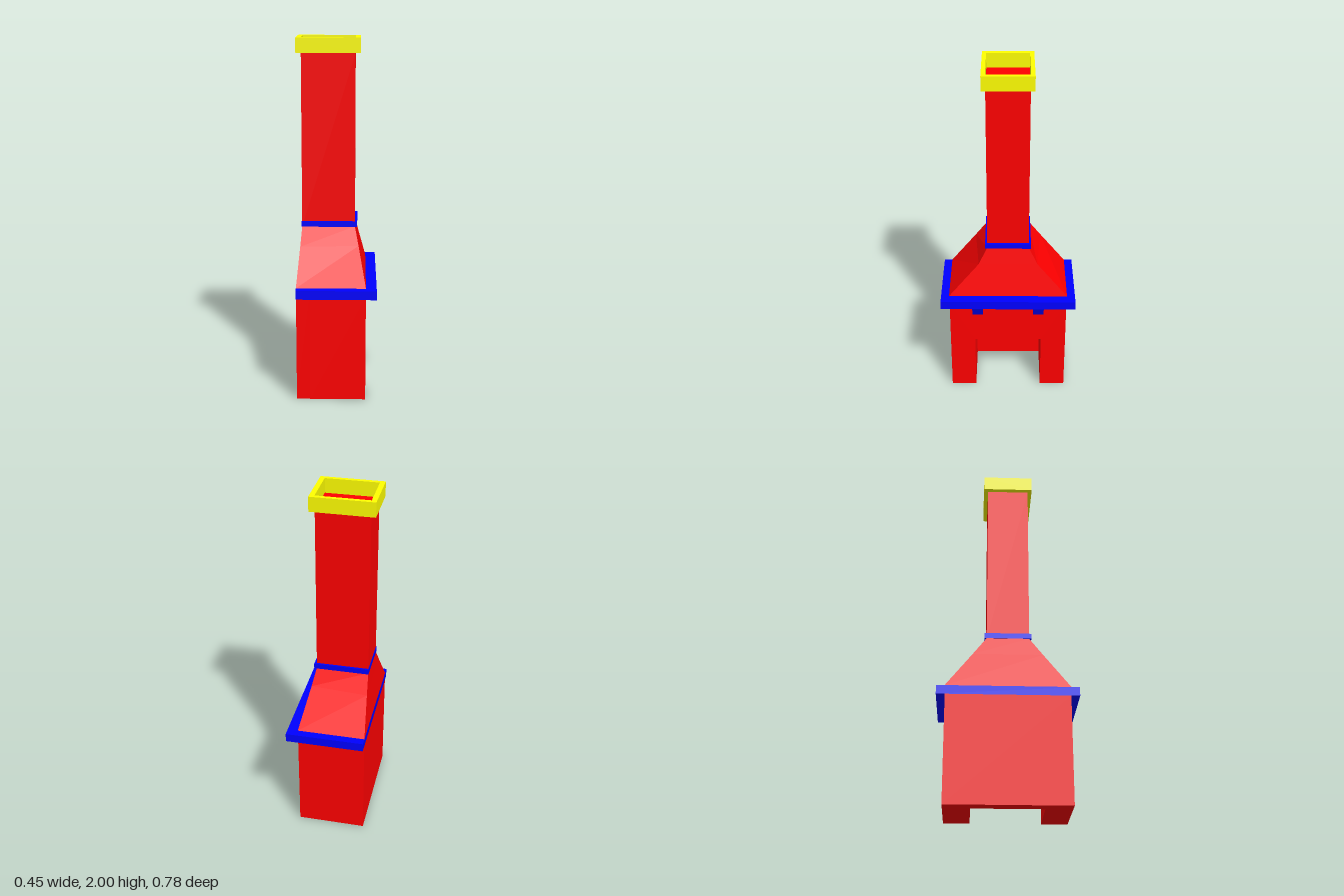
import * as THREE from 'three';

const paint = (color) => new THREE.MeshStandardMaterial({ color, flatShading: true });

export function createModel() {
  const group = new THREE.Group();
  const red = paint(0xff0000), blue = paint(0x0000ff), yellow = paint(0xffff00);

  const add = (name, geometry, material) => {
    const mesh = new THREE.Mesh(geometry, material);
    mesh.name = name;
    group.add(mesh);
    return mesh;
  };

  // Box given by its x range, y range and half width in z
  const slab = (name, x0, x1, y0, y1, halfZ, material) =>
    add(name, new THREE.BoxGeometry(x1 - x0, y1 - y0, halfZ * 2), material)
      .position.set((x0 + x1) / 2, (y0 + y1) / 2, 0);

  const polygon = (points) => new THREE.Shape(points.map(([x, y]) => new THREE.Vector2(x, y)));
  const extrude = (shape, depth) => new THREE.ExtrudeGeometry(shape, { depth, bevelEnabled: false });

  // Firebox: arch-shaped surround opening to +x and downwards, with a back wall
  const surround = polygon([
    [-0.34, 0], [-0.195, 0], [-0.195, 0.34], [0.195, 0.34],
    [0.195, 0], [0.34, 0], [0.34, 0.605], [-0.34, 0.605],
  ]);
  add('fireboxSurround', extrude(surround, 0.31).rotateY(Math.PI / 2).translate(-0.147, 0, 0), red);
  slab('fireboxBack', -0.222, -0.147, 0, 0.605, 0.34, red);

  // Mantel shelf and its two sloped brackets
  slab('mantelShelf', -0.222, 0.222, 0.605, 0.655, 0.388, blue);
  const bracket = polygon([[0.163, 0.545], [0.19, 0.545], [0.217, 0.605], [0.163, 0.605]]);
  for (const z of [-0.176, 0.176]) {
    add('mantelBracket', extrude(bracket, 0.062).translate(0, 0, z - 0.031), blue);
  }

  // Hood: three levels, with the +x corners pinched inwards halfway up
  const levels = [
    { y: 0.655, back: -0.222, front: 0.163, backZ: 0.342, frontZ: 0.342 },
    { y: 0.85, back: -0.205, front: 0.121, backZ: 0.193, frontZ: 0.168 },
    { y: 0.95, back: -0.197, front: 0.1, backZ: 0.118, frontZ: 0.118 },
  ];
  const positions = [], index = [];
  for (const l of levels) {
    positions.push(l.front, l.y, l.frontZ, l.front, l.y, -l.frontZ);
    positions.push(l.back, l.y, -l.backZ, l.back, l.y, l.backZ);
  }
  for (let level = 0; level < 2; level++) {
    for (let i = 0; i < 4; i++) {
      const a = level * 4 + i, b = level * 4 + (i + 1) % 4;
      index.push(a, b, b + 4, a, b + 4, a + 4);
    }
  }
  const hood = new THREE.BufferGeometry();
  hood.setAttribute('position', new THREE.Float32BufferAttribute(positions, 3));
  hood.setIndex(index);
  const hoodFlat = hood.toNonIndexed();
  hoodFlat.computeVertexNormals();
  add('hood', hoodFlat, red);

  // Chimney stack with a collar at its foot
  slab('chimneyStack', -0.197, 0.1, 0.95, 1.917, 0.118, red);
  slab('chimneyCollar', -0.2, 0.113, 0.95, 0.98, 0.13, blue);

  // Rim around the top of the stack
  const rectangle = (x0, x1, z) => [[x0, -z], [x1, -z], [x1, z], [x0, z]];
  const rim = polygon(rectangle(-0.225, 0.128, 0.141));
  rim.holes.push(polygon(rectangle(-0.197, 0.1, 0.118)));
  add('chimneyRim', extrude(rim, 0.083).rotateX(-Math.PI / 2).translate(0, 1.917, 0), yellow);

  return group;
}
